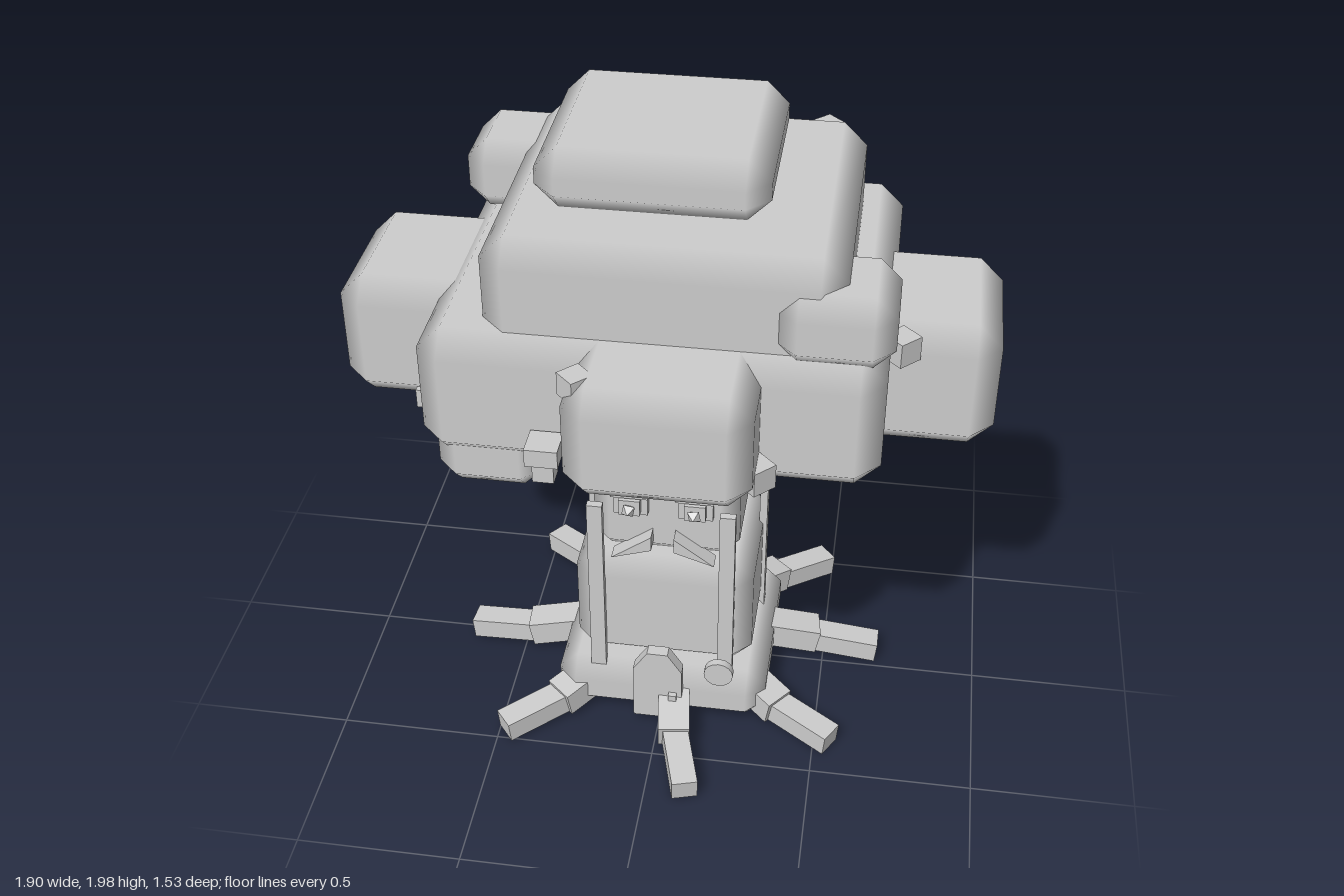
import * as THREE from 'three';
import { ConvexGeometry } from 'three/addons/geometries/ConvexGeometry.js';

// Box with 45 degree chamfers; each corner point keeps the normal of its flat face.
function chamferBox(w, h, d, c) {
  const half = [w / 2, h / 2, d / 2], pts = [];
  for (const sx of [-1, 1]) for (const sy of [-1, 1]) for (const sz of [-1, 1]) {
    const s = [sx, sy, sz];
    for (let axis = 0; axis < 3; axis++) {
      pts.push(new THREE.Vector3(...half.map((v, i) => s[i] * (i === axis ? v : v - c))));
    }
  }
  const geo = new ConvexGeometry(pts);
  const p = geo.attributes.position, n = geo.attributes.normal;
  for (let i = 0; i < p.count; i++) {
    const v = [p.getX(i), p.getY(i), p.getZ(i)];
    n.setXYZ(i, ...v.map((a, k) => (Math.abs(Math.abs(a) - half[k]) < 1e-4 ? Math.sign(a) : 0)));
  }
  return geo;
}

export function createModel() {
  const tree = new THREE.Group();
  tree.name = 'treeHouse';
  const grey = new THREE.MeshStandardMaterial({ color: 0xcccccc });
  grey.name = 'plain grey';

  function add(name, geo, x = 0, y = 0, z = 0, parent = tree) {
    const mesh = new THREE.Mesh(geo, grey);
    mesh.name = name;
    mesh.position.set(x, y, z);
    parent.add(mesh);
    return mesh;
  }
  const box = (name, w, h, d, x, y, z, parent) =>
    add(name, new THREE.BoxGeometry(w, h, d), x, y, z, parent);
  // Chamfered block given by its limits
  const block = (name, x0, x1, y0, y1, z0, z1, c) =>
    add(name, chamferBox(x1 - x0, y1 - y0, z1 - z0, c), (x0 + x1) / 2, (y0 + y1) / 2, (z0 + z1) / 2);
  // Stretch a mesh's +y or +z axis along a line between two points
  function beam(name, geo, axis, a, b) {
    const dir = b.clone().sub(a);
    const mesh = add(name, geo(dir.length()));
    mesh.position.copy(a).add(b).multiplyScalar(0.5);
    if (axis === 'z') mesh.lookAt(b);
    else mesh.quaternion.setFromUnitVectors(new THREE.Vector3(0, 1, 0), dir.normalize());
  }

  // Trunk
  block('trunkBase', -0.335, 0.335, 0.02, 0.205, -0.3, 0.335, 0.06);
  block('trunkLower', -0.28, 0.28, 0.2, 0.595, -0.24, 0.27, 0.06);
  block('trunkUpper', -0.228, 0.228, 0.595, 1.01, -0.185, 0.217, 0.055);

  // Canopy
  const canopy = [
    ['canopyCrown', -0.35, 0.295, 1.82, 2.0, -0.32, 0.295, 0.065],
    ['canopyUpper', -0.47, 0.52, 1.48, 1.82, -0.46, 0.475, 0.07],
    ['canopyMain', -0.645, 0.64, 1.155, 1.56, -0.58, 0.545, 0.07],
    ['canopyRight', -0.95, -0.48, 1.135, 1.53, -0.245, 0.26, 0.07],
    ['canopyLeft', 0.49, 0.95, 1.105, 1.505, -0.27, 0.24, 0.07],
    ['canopyFront', -0.2, 0.31, 1.215, 1.56, 0.3, 0.765, 0.065],
    ['canopyBack', -0.285, 0.225, 1.27, 1.615, -0.765, -0.3, 0.065],
    ['leafClumpFront', 0.335, 0.655, 1.535, 1.75, 0.2, 0.525, 0.06],
    ['leafClumpBack', -0.655, -0.335, 1.555, 1.775, -0.475, -0.16, 0.06],
    ['leafClumpLow', -0.61, -0.305, 1.04, 1.25, 0.255, 0.525, 0.06],
  ];
  for (const c of canopy) block(...c);

  // Branches
  const V = (x, y, z) => new THREE.Vector3(x, y, z);
  for (const [a, b] of [
    [V(-0.06, 0.98, 0), V(-0.45, 1.2, 0)],
    [V(0.06, 0.98, 0), V(0.5, 1.22, 0)],
    [V(0, 0.97, -0.08), V(0.01, 1.25, -0.24)],
  ]) beam('branch', (l) => new THREE.CylinderGeometry(0.075, 0.085, l, 6), 'y', a, b);

  // Roots, each in two jointed pieces
  for (const deg of [-8, 38, 82, 132, 176, 226, 274, 312]) {
    const t = THREE.MathUtils.degToRad(deg);
    const at = (r, y, turn = 0) => V(r * Math.cos(t + turn), y, r * Math.sin(t + turn));
    const bend = deg % 4 === 0 ? 0.05 : -0.05;
    beam('rootInner', (l) => new THREE.BoxGeometry(0.1, 0.085, l), 'z', at(0.25, 0.125), at(0.48, 0.08));
    beam('rootOuter', (l) => new THREE.BoxGeometry(0.08, 0.07, l), 'z', at(0.45, 0.078), at(0.68, 0.055, bend));
  }

  // Upright poles around the trunk
  for (const s of [-1, 1]) {
    box('frontPole', 0.048, 0.65, 0.025, s * 0.203, 0.513, 0.283);
    box('sidePole', 0.025, 0.65, 0.052, s * 0.28, 0.513, -0.09);
  }

  // Face: one half built for each side
  const tri = new THREE.Shape([[0.035, 0.71], [0.035, 0.658], [0.16, 0.617]].map((p) => new THREE.Vector2(...p)));
  const triLeft = new THREE.Shape(tri.getPoints().map((p) => new THREE.Vector2(-p.x, p.y)));
  for (const s of [-1, 1]) {
    const half = new THREE.Group();
    half.name = 'faceHalf';
    tree.add(half);
    const brow = box('brow', 0.13, 0.05, 0.06, s * 0.102, 0.91, 0.24, half);
    brow.rotation.z = s * 0.2;
    box('eyelid', 0.115, 0.025, 0.06, s * 0.1, 0.872, 0.24, half);
    box('eye', 0.105, 0.095, 0.03, s * 0.1, 0.825, 0.226, half);
    box('iris', 0.065, 0.055, 0.04, s * 0.1, 0.822, 0.25, half);
    const pupil = add('pupil', new THREE.OctahedronGeometry(0.025), s * 0.1, 0.825, 0.285, half);
    pupil.rotation.z = s * -0.6;
    const wedge = new THREE.ExtrudeGeometry(s > 0 ? tri : triLeft, { depth: 0.055, bevelEnabled: false });
    add('moustache', wedge, 0, 0, 0.21, half);
  }

  // Door with cut top corners, its knob, and a round plate beside it
  const door = new THREE.Shape([
    [-0.08, 0.05], [0.075, 0.05], [0.075, 0.25], [0.03, 0.32], [-0.035, 0.32], [-0.08, 0.25],
  ].map((p) => new THREE.Vector2(...p)));
  add('door', new THREE.ExtrudeGeometry(door, { depth: 0.04, bevelEnabled: false }), 0, 0, 0.325);
  box('doorKnob', 0.026, 0.026, 0.025, 0.047, 0.15, 0.37);
  const disc = add('roundPlate', new THREE.CylinderGeometry(0.046, 0.046, 0.025, 16), 0.19, 0.247, 0.34);
  disc.rotation.x = Math.PI / 2;

  // Hanging lantern
  box('lanternCap', 0.093, 0.055, 0.093, -0.272, 1.272, 0.6);
  box('lanternBody', 0.06, 0.065, 0.06, -0.272, 1.213, 0.6);

  // Small leaf cubes turned on edge
  for (const [x, y, z, size] of [
    [0.67, 1.468, 0.25, 0.075], [0.31, 1.252, 0.6, 0.075], [-0.17, 1.525, 0.64, 0.07],
    [0.4, 1.765, -0.42, 0.075], [0.24, 1.47, -0.62, 0.07], [-0.33, 1.53, -0.56, 0.07],
  ]) {
    box('leafCube', size, size, size, x, y, z).rotation.y = Math.PI / 4;
  }
  // Little fruits under the canopy
  box('fruit', 0.06, 0.06, 0.06, -0.7, 1.16, 0.235);
  box('fruit', 0.06, 0.06, 0.06, 0.56, 1.16, 0.283);

  return tree;
}
